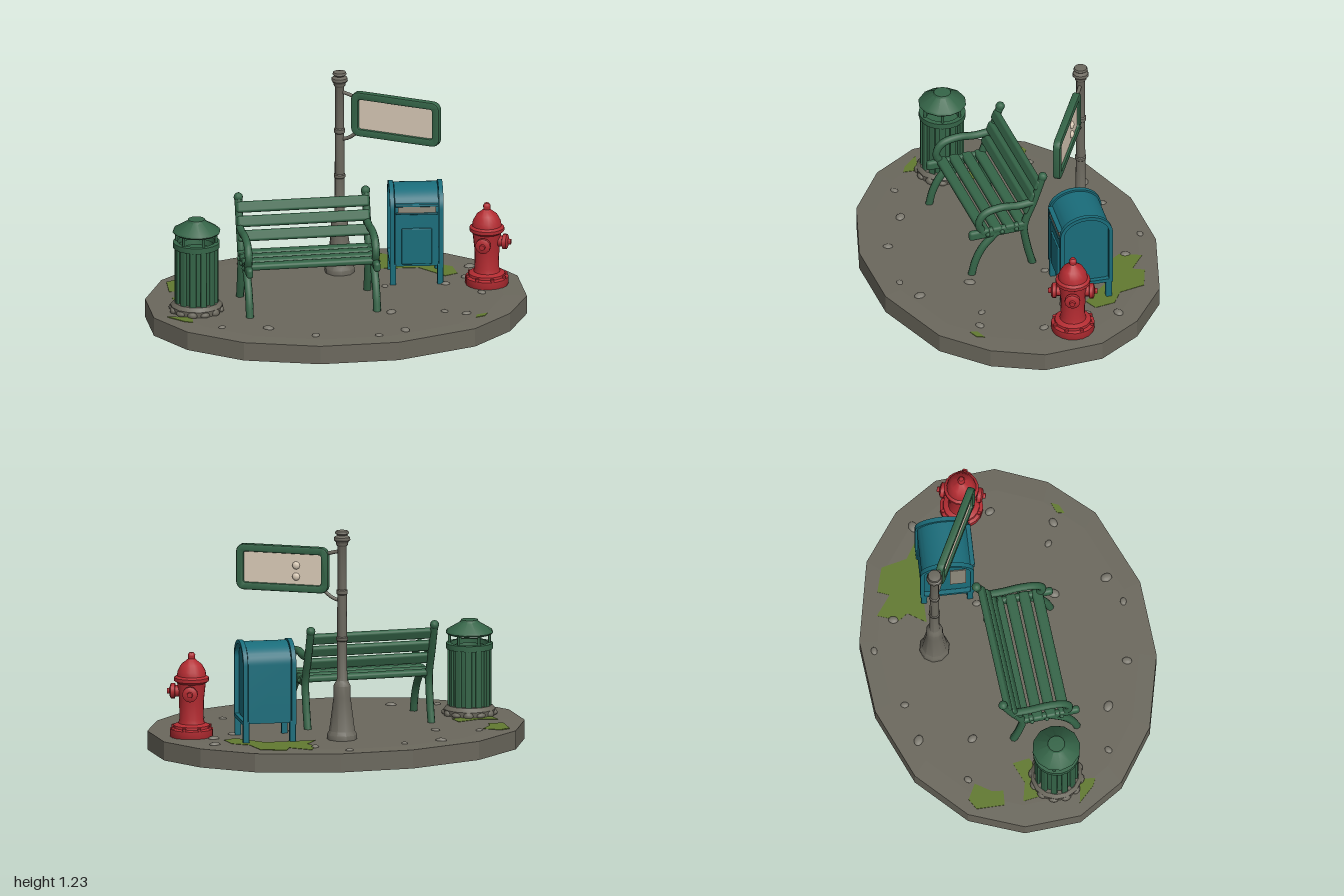
import * as THREE from 'three';
import { toCreasedNormals } from 'three/addons/utils/BufferGeometryUtils.js';
import { RoundedBoxGeometry } from 'three/addons/geometries/RoundedBoxGeometry.js';

const paint = (name, color) => Object.assign(new THREE.MeshStandardMaterial({ color }), { name });
const STONE = paint('stone grey', 0x6b685d);
STONE.side = THREE.DoubleSide;
const PEBBLE = paint('pebble grey', 0x7c796f);
const METAL = paint('pole grey', 0x6c695f);
const GREEN = paint('park green', 0x356548);
const TEAL = paint('mailbox teal', 0x1a6d7b);
const RED = paint('hydrant red', 0xb32b31);
const CREAM = paint('sign cream', 0xdccdb9);
const PAPER = paint('slot grey', 0x8f8a7c);
const MOSS = paint('moss', 0x627a30);

const GROUND = 0.105;
const V = (x, y, z) => new THREE.Vector3(x, y, z);

function add(parent, name, geo, mat, x = 0, y = 0, z = 0) {
  const m = new THREE.Mesh(geo, mat);
  m.name = name;
  m.position.set(x, y, z);
  parent.add(m);
  return m;
}
function group(parent, name, x = 0, y = 0, z = 0, ry = 0) {
  const g = new THREE.Group();
  g.name = name;
  g.position.set(x, y, z);
  g.rotation.y = ry;
  parent.add(g);
  return g;
}
const lathe = (pts, sides = 16, crease = 0.7) =>
  toCreasedNormals(new THREE.LatheGeometry(pts.map(p => new THREE.Vector2(...p)), sides), crease);
const tube = (pts, r, n = 20) => new THREE.TubeGeometry(new THREE.CatmullRomCurve3(pts), n, r, 8);
const block = (w, h, d, r = 0.008) => new RoundedBoxGeometry(w, h, d, 2, r);

// Open-bottomed slab: wall, sloping rim and flat top from three loops
function buildPlinth(root) {
  const outline = [[-0.2, -0.76], [0.2, -0.76], [0.63, -0.63], [0.87, -0.42], [1, -0.18], [1, 0.14],
    [0.87, 0.4], [0.65, 0.61], [0.22, 0.76], [-0.2, 0.76], [-0.59, 0.64], [-0.86, 0.43],
    [-1, 0.18], [-1, -0.12], [-0.87, -0.4], [-0.6, -0.63]];
  const loops = [[1, 0], [1, 0.1], [0.88, GROUND]].map(([s, y]) => outline.map(([x, z]) => V(x * s, y, z * s)));
  const pts = [];
  outline.forEach((_, i) => {
    const j = (i + 1) % outline.length;
    for (let k = 0; k < 2; k++) {
      const [a, b] = [loops[k], loops[k + 1]];
      pts.push(a[j], a[i], b[i], a[j], b[i], b[j]);
    }
    pts.push(V(0, GROUND, 0), loops[2][j], loops[2][i]);
  });
  const geo = new THREE.BufferGeometry().setFromPoints(pts);
  geo.computeVertexNormals();
  add(root, 'pavement', geo, STONE);

  // Moss patches
  const patches = [
    [[0.23, -0.39], [0.3, -0.48], [0.27, -0.53], [0.32, -0.64], [0.42, -0.55], [0.45, -0.61], [0.58, -0.56],
      [0.6, -0.42], [0.68, -0.36], [0.69, -0.25], [0.62, -0.22], [0.5, -0.37]],
    [[-0.85, -0.35], [-0.79, -0.38], [-0.71, -0.33], [-0.77, -0.25], [-0.78, -0.19], [-0.86, -0.2]],
    [[-0.86, -0.1], [-0.76, -0.07], [-0.64, -0.11], [-0.63, -0.02], [-0.72, 0.02], [-0.85, 0]],
    [[-0.93, 0.19], [-0.8, 0.22], [-0.81, 0.3], [-0.85, 0.28]],
    [[0.68, 0.45], [0.69, 0.41], [0.75, 0.39], [0.73, 0.43]]];
  for (const p of patches) {
    const shape = new THREE.Shape(p.map(([x, z]) => new THREE.Vector2(x, -z)));
    const g = new THREE.ExtrudeGeometry(shape, { depth: 0.007, bevelEnabled: false }).rotateX(-Math.PI / 2);
    add(root, 'mossPatch', g, MOSS, 0, GROUND - 0.005, 0);
  }

  // Loose pebbles
  const pebbles = [[0.13, -0.695], [0.28, -0.56], [-0.41, -0.57], [-0.68, -0.36], [-0.46, -0.29], [0.77, -0.35],
    [0.28, -0.11], [0.6, -0.1], [0.25, 0.3], [0.53, 0.33], [0.64, 0.38], [0.28, 0.59], [0.13, 0.65],
    [-0.2, 0.6], [-0.43, 0.45], [-0.67, 0.4], [0.77, 0.065], [0.73, -0.19], [-0.2, -0.6]];
  pebbles.forEach(([x, z], i) => {
    const m = add(root, 'pebble', new THREE.IcosahedronGeometry(0.02 + 0.004 * (i % 3), 1), PEBBLE, x, GROUND, z);
    m.scale.set(1.1, 0.5, 0.85);
    m.rotation.y = i * 1.3;
  });
}

function buildBin(root) {
  const g = group(root, 'litterBin', -0.76, 0, 0.1);
  add(g, 'binFooting', lathe([[0.135, 0.1], [0.138, 0.135], [0.12, 0.155], [0, 0.155]], 14), STONE);
  add(g, 'binBody', lathe([[0.098, 0.15], [0.104, 0.3], [0.104, 0.46], [0.09, 0.47], [0.085, 0.44], [0, 0.44]], 20), GREEN);
  add(g, 'binCollar', lathe([[0.1, 0.455], [0.124, 0.458], [0.124, 0.488], [0.1, 0.49], [0.1, 0.455]], 20), GREEN);
  add(g, 'binRoof', lathe([[0, 0.54], [0.118, 0.535], [0.128, 0.545], [0.122, 0.557], [0.05, 0.6], [0.045, 0.612], [0, 0.614]], 12), GREEN);
  for (let i = 0; i < 12; i++) {
    const spoke = group(g, 'binSpoke', 0, 0, 0, i * Math.PI / 6 + 0.2);
    add(spoke, 'binSlat', block(0.034, 0.31, 0.016, 0.005), GREEN, 0, 0.305, 0.108);
    if (i % 2 === 0) add(spoke, 'roofPost', new THREE.CylinderGeometry(0.008, 0.008, 0.08, 6), GREEN, 0, 0.51, 0.106);
    const lump = add(spoke, 'footingStone', new THREE.IcosahedronGeometry(0.027, 1), STONE, 0, 0.115, 0.13);
    lump.scale.set(1, 0.6 + 0.2 * (i % 2), 0.7);
  }
}

function buildBench(root) {
  const g = group(root, 'bench', -0.16, 0, 0);
  for (const x of [-0.34, 0.34]) {
    const side = group(g, 'benchSide', x);
    add(side, 'frontLeg', tube([V(0, 0.1, 0.265), V(0, 0.18, 0.245), V(0, 0.26, 0.205), V(0, 0.34, 0.13)], 0.021), GREEN);
    add(side, 'backPost', tube([V(0, 0.1, -0.075), V(0, 0.22, -0.045), V(0, 0.35, -0.03), V(0, 0.5, -0.085), V(0, 0.645, -0.135)], 0.021), GREEN);
    add(side, 'postKnob', new THREE.SphereGeometry(0.025, 10, 8), GREEN, 0, 0.64, -0.133);
    add(side, 'armrest', tube([V(0, 0.35, 0.2), V(0, 0.42, 0.225), V(0, 0.475, 0.19), V(0, 0.495, 0.1), V(0, 0.485, 0.01), V(0, 0.49, -0.08)], 0.021), GREEN);
    add(side, 'seatRail', block(0.036, 0.055, 0.32, 0.016), GREEN, 0, 0.35, 0.12);
    for (const z of [0.02, 0.1, 0.18])
      add(side, 'bolt', new THREE.SphereGeometry(0.013, 8, 6), GREEN, Math.sign(x) * 0.018, 0.35, z);
  }
  for (let i = 0; i < 4; i++) add(g, 'seatSlat', block(0.72, 0.034, 0.058, 0.014), GREEN, 0, 0.364, 0.195 - i * 0.071);
  for (let i = 0; i < 3; i++) {
    const slat = add(g, 'backSlat', block(0.71, 0.06, 0.034, 0.014), GREEN, 0, 0.45 + i * 0.071, -0.05 - i * 0.028);
    slat.rotation.x = -0.38;
  }
}

function roundRect(w, h, r, Type = THREE.Shape) {
  const s = new Type(), x = w / 2, y = h / 2;
  s.absarc(x - r, y - r, r, 0, Math.PI / 2);
  s.absarc(r - x, y - r, r, Math.PI / 2, Math.PI);
  s.absarc(r - x, r - y, r, Math.PI, Math.PI * 1.5);
  s.absarc(x - r, r - y, r, Math.PI * 1.5, Math.PI * 2);
  s.closePath();
  return s;
}

function buildSignPost(root) {
  const g = group(root, 'signPost', 0.08, 0, -0.38);
  add(g, 'pole', lathe([[0.08, 0.1], [0.08, 0.13], [0.068, 0.15], [0.045, 0.33], [0.045, 0.39], [0.036, 0.41],
    [0.028, 0.42], [0.026, 0.63], [0.031, 0.635], [0.031, 0.65], [0.026, 0.655], [0.025, 0.88], [0.03, 0.885],
    [0.03, 0.905], [0.024, 0.91], [0.024, 1.14], [0.032, 1.15], [0.032, 1.16], [0.044, 1.175], [0.042, 1.19],
    [0.026, 1.2], [0.038, 1.21], [0.034, 1.222], [0, 1.23]], 10), METAL);

  // Sign hangs out from the pole at an angle
  const arm = group(g, 'sign', 0, 1.005, 0, -0.56);
  const frame = roundRect(0.49, 0.23, 0.035);
  frame.holes.push(roundRect(0.44, 0.18, 0.02, THREE.Path));
  const frameGeo = new THREE.ExtrudeGeometry(frame, { depth: 0.024, bevelSize: 0.008, bevelThickness: 0.008, bevelSegments: 2, curveSegments: 4 });
  add(arm, 'signFrame', toCreasedNormals(frameGeo, 0.7), GREEN, 0.325, 0, -0.012);
  add(arm, 'signPanel', new THREE.BoxGeometry(0.45, 0.19, 0.012), CREAM, 0.325, 0, 0);
  for (const y of [0.02, -0.04]) {
    const stud = add(arm, 'signStud', new THREE.SphereGeometry(0.021, 10, 8), CREAM, 0.25, y, -0.01);
    stud.scale.z = 0.6;
  }
  add(arm, 'upperBracket', tube([V(0, 0.11, 0), V(0.05, 0.1, 0), V(0.1, 0.085, 0)], 0.01, 6), METAL);
  add(arm, 'lowerBracket', tube([V(0, -0.16, 0), V(0.05, -0.145, 0), V(0.11, -0.1, 0)], 0.01, 6), METAL);
}

// Arched side profile of the mailbox, shrunk by an inset
function arch(inset, Type = THREE.Shape) {
  const s = new Type(), w = 0.142 - inset;
  s.moveTo(-w, 0.2 + inset);
  s.lineTo(w, 0.2 + inset);
  s.lineTo(w, 0.52);
  s.absellipse(0, 0.52, w, 0.115 - inset, 0, Math.PI);
  s.closePath();
  return s;
}

function buildMailbox(root) {
  const g = group(root, 'mailbox', 0.464, 0, -0.245, -0.1);
  const extrude = (shape, depth) => toCreasedNormals(
    new THREE.ExtrudeGeometry(shape, { depth, bevelEnabled: false, curveSegments: 16 }).rotateY(Math.PI / 2), 0.6);
  add(g, 'mailboxBody', extrude(arch(0.008), 0.23), TEAL, -0.115);
  const rim = arch(0);
  rim.holes.push(arch(0.02, THREE.Path));
  for (const x of [-0.142, 0.118]) add(g, 'sideRim', extrude(rim, 0.024), TEAL, x);
  for (const x of [-0.125, 0.125]) for (const z of [-0.122, 0.122])
    add(g, 'mailboxLeg', block(0.032, 0.12, 0.032, 0.006), TEAL, x, 0.16, z);
  add(g, 'mailSlot', new THREE.BoxGeometry(0.2, 0.036, 0.008), PAPER, 0, 0.525, 0.139);
  add(g, 'slotHood', block(0.23, 0.014, 0.03, 0.005), TEAL, 0, 0.55, 0.135);
  add(g, 'slotSill', block(0.22, 0.01, 0.02, 0.004), TEAL, 0, 0.504, 0.138);
  add(g, 'frontDoor', block(0.16, 0.2, 0.014, 0.005), TEAL, 0, 0.32, 0.136);
  add(g, 'sideNotice', new THREE.BoxGeometry(0.006, 0.2, 0.085), PAPER, -0.117, 0.4, 0.06);
}

function buildHydrant(root) {
  const g = group(root, 'hydrant', 0.82, 0, -0.078, -0.36);
  add(g, 'hydrantBody', lathe([[0.112, 0.1], [0.115, 0.11], [0.115, 0.145], [0.098, 0.152], [0.096, 0.165], [0.07, 0.175],
    [0.064, 0.2], [0.066, 0.3], [0.076, 0.39], [0.092, 0.402], [0.092, 0.42], [0.078, 0.43], [0.074, 0.455],
    [0.055, 0.49], [0.026, 0.512], [0.018, 0.52], [0.02, 0.54], [0.012, 0.553], [0, 0.556]], 18), RED);
  const nozzle = lathe([[0.03, 0.04], [0.03, 0.085], [0.041, 0.088], [0.041, 0.108], [0.03, 0.114], [0.016, 0.116],
    [0.014, 0.13], [0, 0.131]], 12).rotateZ(-Math.PI / 2);
  for (const a of [0, Math.PI / 2, -Math.PI / 2]) add(g, 'hydrantNozzle', nozzle, RED, 0, 0.345, 0).rotation.y = a;
  for (let i = 0; i < 8; i++) {
    const a = i * Math.PI / 4 + 0.3;
    add(g, 'baseBolt', new THREE.CylinderGeometry(0.01, 0.01, 0.02, 6), RED, Math.cos(a) * 0.104, 0.15, Math.sin(a) * 0.104);
  }
}

export function createModel() {
  const root = new THREE.Group();
  root.name = 'streetCorner';
  [buildPlinth, buildBin, buildBench, buildSignPost, buildMailbox, buildHydrant].forEach(build => build(root));
  return root;
}
